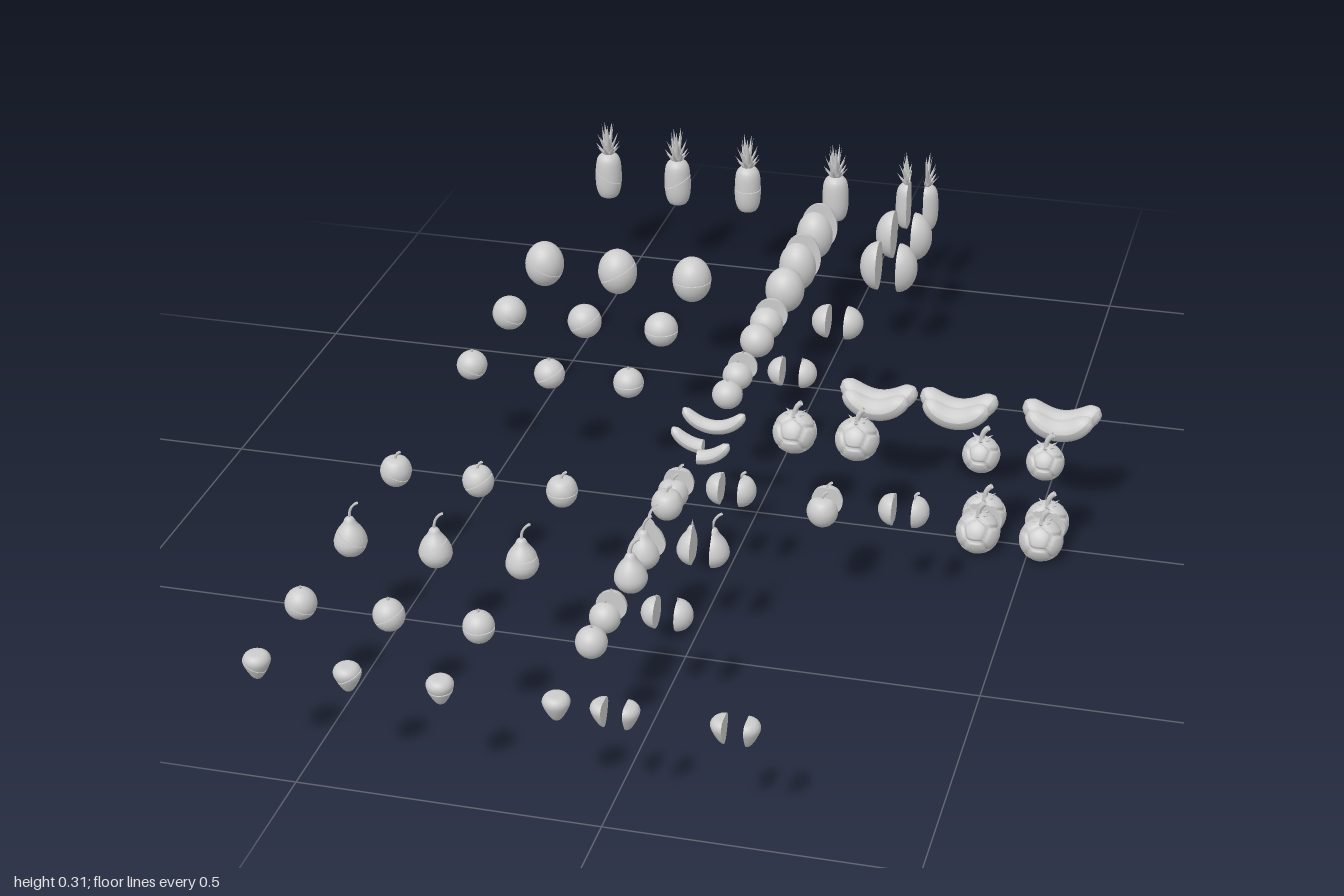
import * as THREE from 'three';
import { mergeGeometries } from 'three/addons/utils/BufferGeometryUtils.js';

const V = (x, y, z) => new THREE.Vector3(x, y, z);
const grey = new THREE.MeshStandardMaterial({ color: 0xcccccc, side: THREE.DoubleSide });

// Plain triangle list with positions and normals only
function plain(geo) {
  const g = geo.index ? geo.toNonIndexed() : geo;
  g.deleteAttribute('uv');
  return g;
}

// Cuts a closed geometry across a plane, keeps the side away from n and caps it
function clip(geo, n, d = 0) {
  const P = geo.attributes.position, N = geo.attributes.normal, pos = [], nor = [], cuts = [];
  const tri = (vs) => vs.forEach((v) => { pos.push(...v.p.toArray()); nor.push(...v.n.toArray()); });
  for (let i = 0; i < P.count; i += 3) {
    const poly = [], edge = [];
    const v = [0, 1, 2].map((k) => ({ p: V().fromBufferAttribute(P, i + k), n: V().fromBufferAttribute(N, i + k) }));
    for (let k = 0; k < 3; k++) {
      const a = v[k], b = v[(k + 1) % 3], da = a.p.dot(n) - d, db = b.p.dot(n) - d;
      if (da <= 0) poly.push(a);
      if ((da <= 0) !== (db <= 0)) {
        const t = da / (da - db);
        const m = { p: a.p.clone().lerp(b.p, t), n: a.n.clone().lerp(b.n, t) };
        poly.push(m);
        edge.push(m.p);
      }
    }
    for (let k = 2; k < poly.length; k++) tri([poly[0], poly[k - 1], poly[k]]);
    if (edge.length === 2 && edge[0].distanceTo(edge[1]) > 1e-6) cuts.push(edge);
  }
  if (cuts.length) {
    const c = V(0, 0, 0);
    cuts.forEach(([a, b]) => c.add(a).add(b));
    c.divideScalar(cuts.length * 2);
    for (const [a, b] of cuts) {
      const flip = a.clone().sub(c).cross(b.clone().sub(c)).dot(n) < 0;
      tri((flip ? [c, b, a] : [c, a, b]).map((p) => ({ p, n })));
    }
  }
  if (!pos.length) return null;
  const g = new THREE.BufferGeometry();
  g.setAttribute('position', new THREE.Float32BufferAttribute(pos, 3));
  g.setAttribute('normal', new THREE.Float32BufferAttribute(nor, 3));
  return g;
}

// Smooth turned body from a few [radius, height] points
function turned(points) {
  const curve = new THREE.SplineCurve(points.map(([x, y]) => new THREE.Vector2(x, y)));
  const pts = curve.getPoints(18);
  pts.forEach((p) => { p.x = Math.max(0, p.x); });
  return plain(new THREE.LatheGeometry(pts, 24).rotateY(0.07));
}

function ball(r, h = r) {
  return plain(new THREE.SphereGeometry(1, 24, 17).rotateY(0.07).scale(r, h, r));
}

function stem(y, h, lean, r = 0.0025) {
  const c = new THREE.QuadraticBezierCurve3(V(0, y, 0), V(0, y + h * 0.7, 0), V(lean, y + h, 0));
  return plain(new THREE.TubeGeometry(c, 5, r, 6));
}

// Ring of pointed leaves: tilt 0 is upright
function leaves(count, y, length, width, tilt, turn = 0) {
  return Array.from({ length: count }, (_, i) => plain(new THREE.ConeGeometry(width, length, 5)
    .translate(0, length / 2, 0).scale(1, 1, 0.4).translate(0, 0, width * 0.6)
    .rotateX(tilt).rotateY(turn + (i / count) * Math.PI * 2).translate(0, y, 0)));
}

// Banana: a cylinder tapered and bent upward; half flattens its back
function banana(length, r, half = false) {
  const g = new THREE.CylinderGeometry(1, 1, 2, 12, 22);
  const p = g.attributes.position, bend = 1.05, R = length / 2 / Math.sin(bend);
  for (let i = 0; i < p.count; i++) {
    const t = p.getY(i), a = t * bend;
    const w = r * (0.22 + 0.78 * Math.sqrt(1 - Math.pow(Math.abs(t), 3.5)));
    const k = R + p.getX(i) * w, z = p.getZ(i) * w;
    p.setXYZ(i, k * Math.sin(a), R - k * Math.cos(a) - 0.008, half ? Math.max(0, z) : z);
  }
  g.computeVertexNormals();
  return plain(g);
}

// Round fruit with a skin of raised plates, a small crown and a bent stem
function platedFruit(r) {
  const g = new THREE.SphereGeometry(r, 56, 36), p = g.attributes.position;
  const ico = new THREE.IcosahedronGeometry(1, 0).attributes.position;
  const seeds = Array.from({ length: ico.count }, (_, i) => V().fromBufferAttribute(ico, i))
    .filter((s, i, all) => all.findIndex((o) => o.distanceTo(s) < 0.01) === i);
  for (let i = 0; i < p.count; i++) {
    const v = V().fromBufferAttribute(p, i), u = v.clone().normalize();
    const d = seeds.map((s) => s.distanceTo(u)).sort((a, b) => a - b);
    v.multiplyScalar(0.88 + 0.13 * Math.min(1, (d[1] - d[0]) * 6));
    p.setXYZ(i, v.x, v.y, v.z);
  }
  g.computeVertexNormals();
  return [plain(g), ...leaves(6, r * 0.9, 0.022, 0.008, 1.1), stem(r * 0.9, 0.024, 0.012, 0.005)];
}

const fruits = {
  pineapple: [
    turned([[0, -0.048], [0.018, -0.046], [0.026, -0.025], [0.027, 0.005], [0.024, 0.035], [0.013, 0.048], [0, 0.05]]),
    ...leaves(8, 0.045, 0.036, 0.008, 0.7), ...leaves(7, 0.053, 0.044, 0.008, 0.42, 0.4),
    ...leaves(5, 0.062, 0.055, 0.007, 0.16, 0.2)],
  longMelon: [ball(0.037, 0.05)],
  melon: [ball(0.038, 0.045)],
  orange: [ball(0.032)],
  tangerine: [ball(0.028, 0.027), stem(0.025, 0.006, 0)],
  apple: [turned([[0, -0.025], [0.013, -0.025], [0.024, -0.013], [0.027, 0.004], [0.02, 0.02], [0.008, 0.025], [0, 0.024]]),
    stem(0.023, 0.014, 0.009)],
  pear: [turned([[0, -0.036], [0.017, -0.034], [0.028, -0.016], [0.023, 0.005], [0.012, 0.021], [0.007, 0.031], [0, 0.034]]),
    stem(0.032, 0.03, 0.016)],
  plum: [ball(0.026, 0.027), stem(0.024, 0.007, 0.001)],
  strawberry: [turned([[0, -0.025], [0.008, -0.021], [0.018, -0.004], [0.022, 0.01], [0.015, 0.02], [0, 0.021]]),
    ...leaves(6, 0.02, 0.017, 0.004, 1.5)],
};

export function createModel() {
  const model = new THREE.Group();
  const Y = 0.194;

  function place(name, parts, x, y, z) {
    const mesh = new THREE.Mesh(mergeGeometries(parts.filter(Boolean)), grey);
    mesh.name = name;
    mesh.position.set(x, y, z);
    model.add(mesh);
  }
  // Both halves of a cut fruit; the second is moved away by gap along n
  function halves(kind, n, x, z, gap) {
    const m = n.clone().negate();
    place(kind + 'HalfA', fruits[kind].map((g) => clip(g, n)), x, Y, z);
    place(kind + 'HalfB', fruits[kind].map((g) => clip(g, m)), x + n.x * gap, Y + n.y * gap, z + n.z * gap);
  }

  // Rows of fruit: three sliced but closed, one whole
  const slices = [[-0.56, V(0.5, 0.87, 0)], [-0.41, V(-0.5, 0.87, 0)], [-0.26, V(0, 1, 0)]];
  const rows = { pineapple: -0.973, melon: -0.524, orange: -0.299, tangerine: -0.075,
    apple: 0.338, pear: 0.563, plum: 0.788, strawberry: 0.975 };
  for (const [kind, z] of Object.entries(rows)) {
    for (const [x, n] of slices) halves(kind, n.clone().normalize(), x, z, 0.0015);
    place(kind, fruits[kind], -0.074, Y, z);
  }

  // Halves cut front from back, and left from right
  const X = V(1, 0, 0), Z = V(0, 0, 1);
  const cut = [['longMelon', -0.824, 0.08, 0.04], ['longMelon', -0.674, 0.08, 0.04], ['orange', -0.411, 0.038, 0.035],
    ['tangerine', -0.188, 0.002, 0.036], ['apple', 0.263, 0.002, 0.034], ['pear', 0.452, 0.002, 0.034],
    ['plum', 0.677, 0.002, 0.034]];
  for (const [kind, z, x, gap] of cut) {
    halves(kind, Z, -0.074, z, gap);
    halves(kind, X, x, z, gap);
  }
  halves('pineapple', X, 0.08, -0.973, 0.034);
  halves('apple', Z, 0.187, 0.263, 0.034);
  halves('apple', X, 0.303, 0.263, 0.034);
  halves('strawberry', X, 0.002, 0.975, 0.034);
  halves('strawberry', X, 0.19, 0.975, 0.034);

  // Small bananas: one whole, one cut across
  const small = banana(0.11, 0.013);
  place('banana', [small], -0.07, Y, 0.038);
  place('bananaHalfA', [clip(small, X)], -0.07, Y, 0.113);
  place('bananaHalfB', [clip(small, X.clone().negate())], -0.07, Y, 0.151);

  // Large bananas, each with a lengthwise half in front
  for (const x of [0.195, 0.342, 0.528]) {
    place('largeBanana', [banana(0.127, 0.023)], x, Y, -0.127);
    place('largeBananaHalf', [banana(0.108, 0.021, true)], x, Y, -0.098);
  }

  // Plated fruit with a flat cut, on two levels
  const plated = (x, y, z, side, r = 0.039) =>
    place('platedFruit', platedFruit(r).map((g) => clip(g, V(0, 0, -side), 0.018)), x, y, z);
  plated(0.077, Y, 0.034, 1);
  plated(0.19, Y, 0.034, 1);
  for (const x of [0.412, 0.525]) {
    plated(x, Y, 0.037, 1, 0.033);
    plated(x, 0.039, 0.039, 1);
    plated(x, 0.039, -0.024, -1);
  }
  return model;
}
